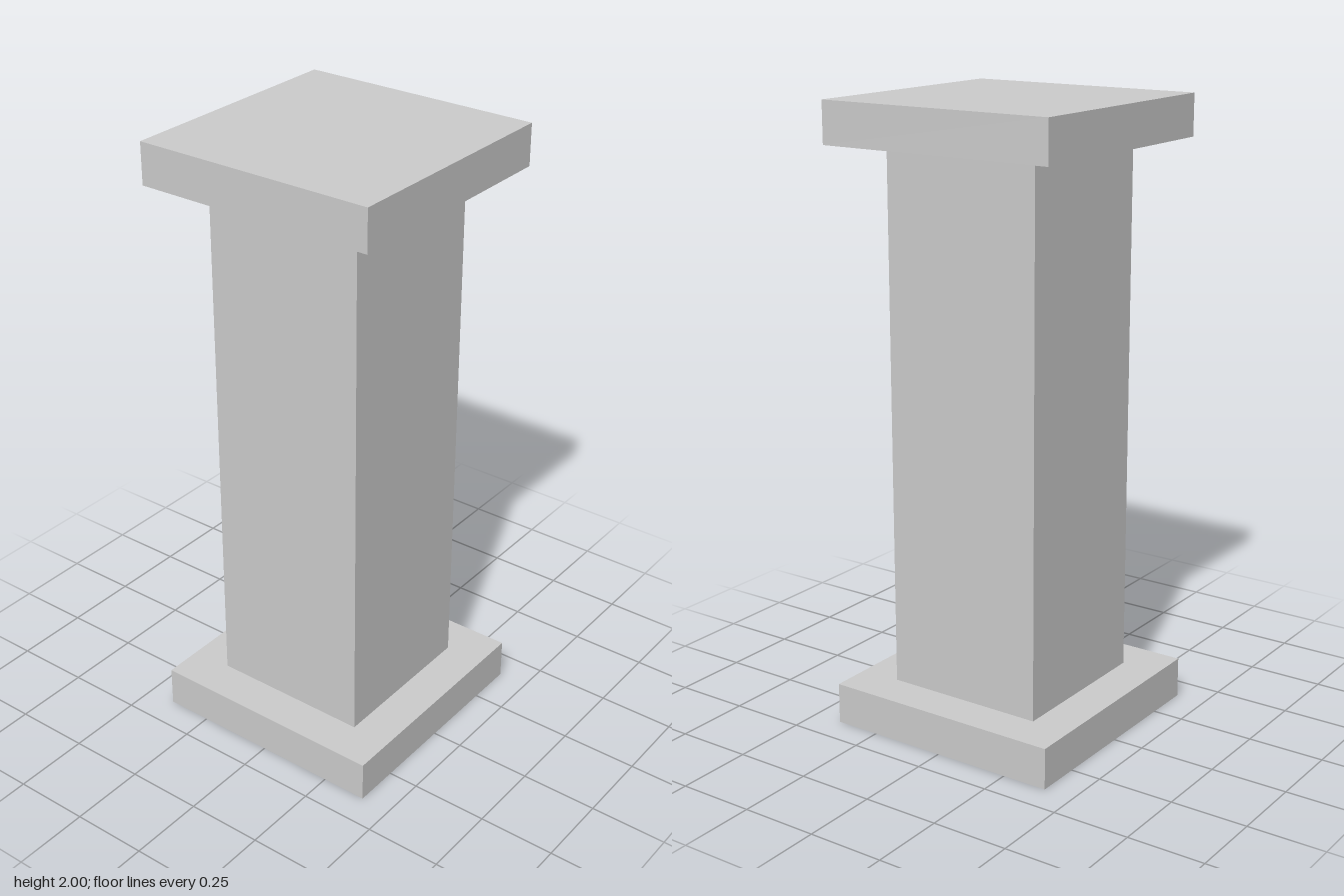
import * as THREE from 'three';

const HEIGHT = 2;
const SLAB_WIDTH = 0.8;
const SLAB_HEIGHT = HEIGHT / 15;
const SHAFT_WIDTH = 0.8 * 2 / 3;

export function createModel() {
  const group = new THREE.Group();
  group.name = 'pillar';
  const material = new THREE.MeshStandardMaterial({ color: 0xcccccc });

  // Square block standing on the given height
  const addBlock = (name, width, height, bottom) => {
    const mesh = new THREE.Mesh(new THREE.BoxGeometry(width, height, width), material);
    mesh.name = name;
    mesh.position.y = bottom + height / 2;
    group.add(mesh);
  };

  addBlock('base', SLAB_WIDTH, SLAB_HEIGHT, 0);
  addBlock('shaft', SHAFT_WIDTH, HEIGHT - 2 * SLAB_HEIGHT, SLAB_HEIGHT);
  addBlock('capital', SLAB_WIDTH, SLAB_HEIGHT, HEIGHT - SLAB_HEIGHT);

  return group;
}
